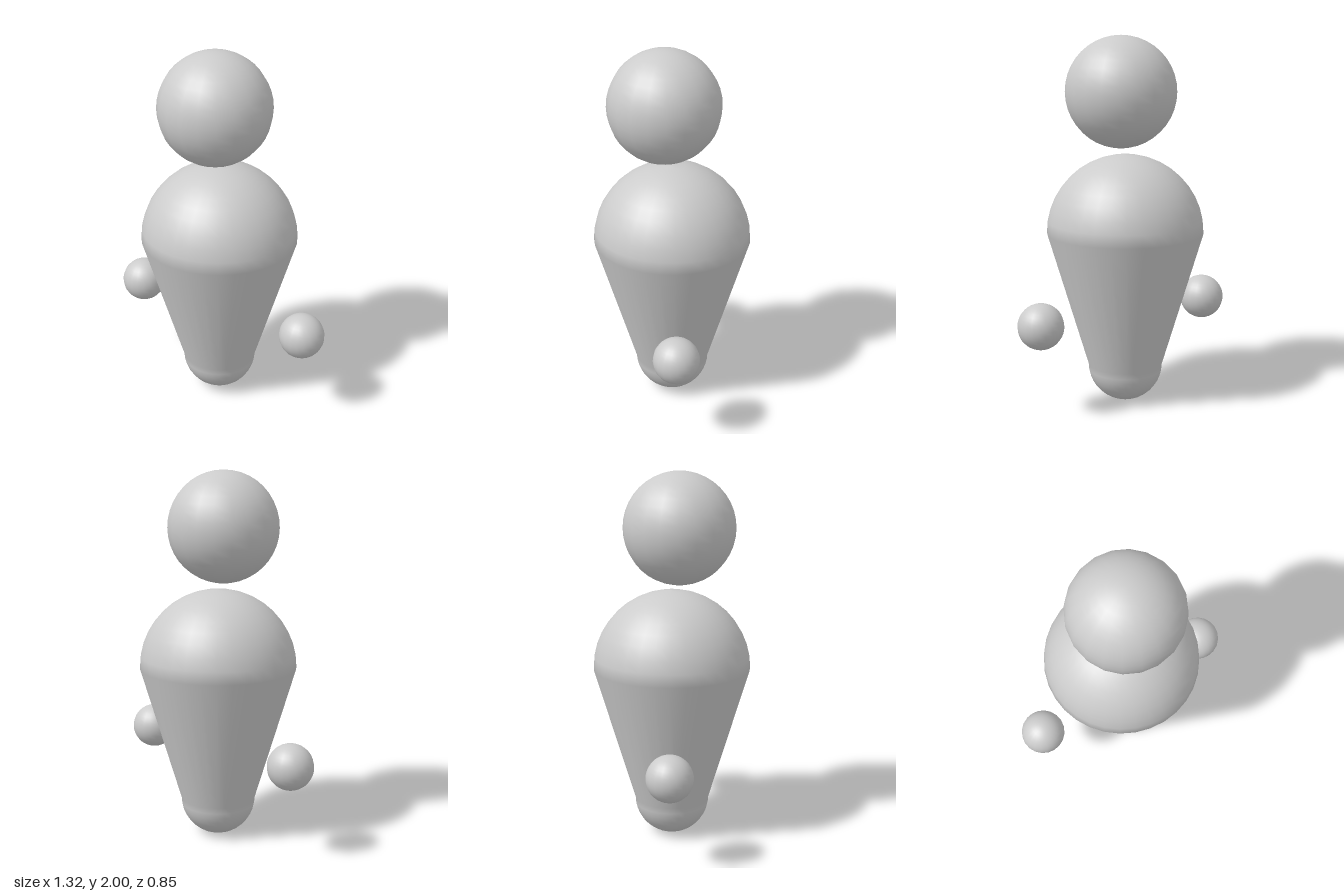
import * as THREE from 'three';

const material = new THREE.MeshStandardMaterial({ color: 0xcccccc });

function ball(name, radius, segments, x, y, z) {
  const mesh = new THREE.Mesh(new THREE.SphereGeometry(radius, segments, segments), material);
  mesh.name = name;
  mesh.position.set(x, y, z);
  return mesh;
}

// Points on a quarter circle around the axis, from angle a0 to a1
function arc(radius, centreY, a0, a1, steps) {
  return Array.from({ length: steps + 1 }, (_, i) => {
    const a = a0 + (a1 - a0) * i / steps;
    return new THREE.Vector2(Math.max(0, radius * Math.cos(a)), centreY + radius * Math.sin(a));
  });
}

export function createModel() {
  const model = new THREE.Group();
  model.name = 'figure';

  // Tapered body: small rounded base, straight cone, large domed shoulders
  const profile = [
    ...arc(0.204, 0.204, -Math.PI / 2, 0, 10),
    ...arc(0.425, 0.945, 0, Math.PI / 2, 10),
  ];
  const body = new THREE.Mesh(new THREE.LatheGeometry(profile, 32), material);
  body.name = 'body';
  model.add(body);

  // Floating head, set slightly forward
  model.add(ball('head', 0.3, 20, 0, 1.7, 0.04));

  // Floating hands
  for (const side of [1, -1]) {
    model.add(ball(side > 0 ? 'leftHand' : 'rightHand', 0.123, 20, side * 0.537, 0.503, 0));
  }

  return model;
}
